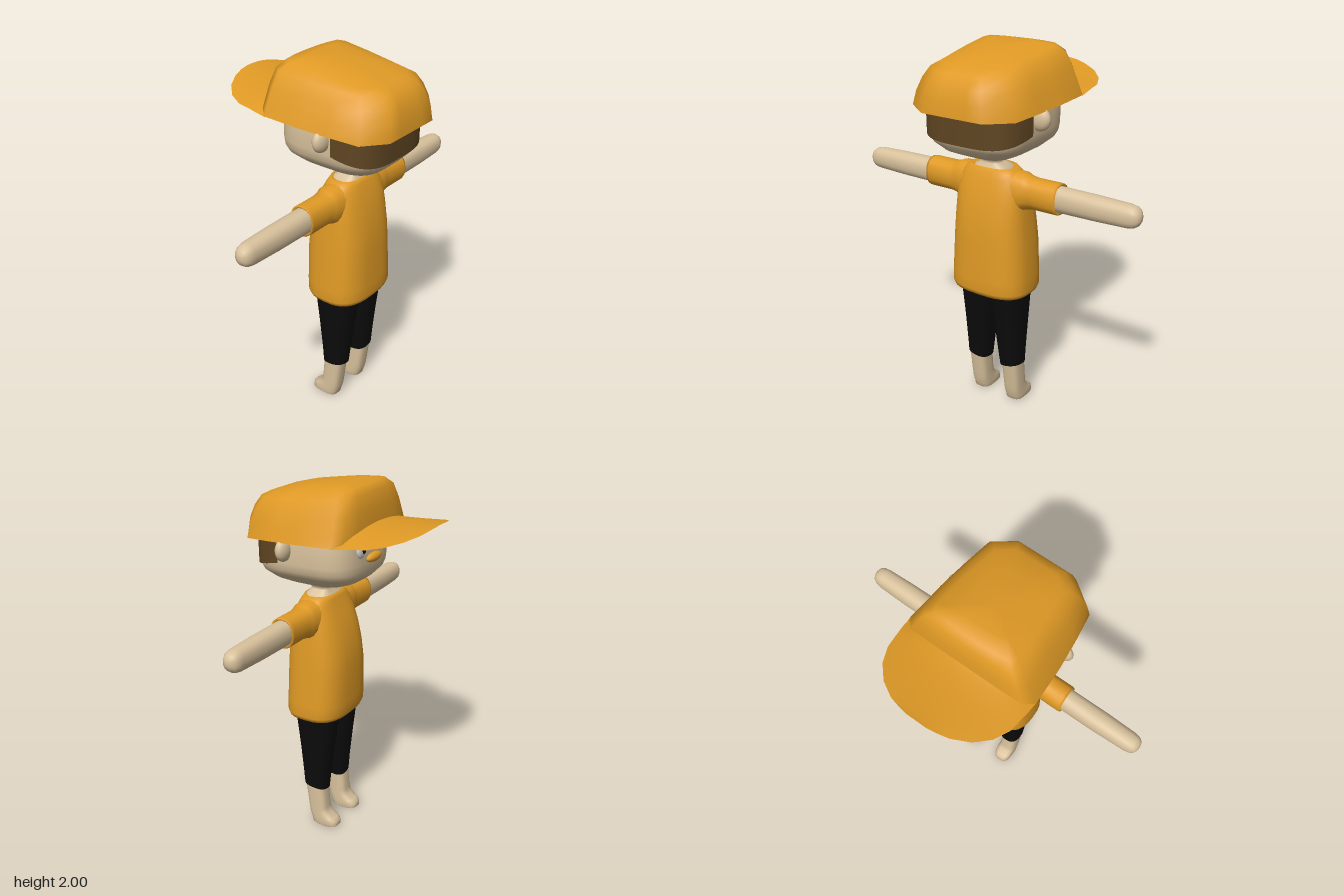
import * as THREE from 'three';

const mat = (name, color, side = THREE.FrontSide) => {
  const m = new THREE.MeshStandardMaterial({ color, side });
  m.name = name;
  return m;
};

// Rounded-box outline, u across x (0..1) and v across z (-1..1)
function superellipse(n, segs, a0 = 0, a1 = Math.PI * 2) {
  const f = c => Math.sign(c) * Math.abs(c) ** (2 / n);
  const pts = [];
  const count = a1 - a0 < 6.28 ? segs + 1 : segs;
  for (let i = 0; i < count; i++) {
    const t = a0 + (a1 - a0) * i / segs;
    pts.push([0.5 + 0.5 * f(Math.cos(t)), f(Math.sin(t))]);
  }
  return pts;
}

// Skin over rows of points, optionally closed around and capped at the ends
function skin(rows, { closed = true, capStart = false, capEnd = false } = {}) {
  const n = rows[0].length, pos = rows.flat(2), index = [];
  for (let i = 0; i < rows.length - 1; i++) {
    for (let j = 0; j < (closed ? n : n - 1); j++) {
      const k = (j + 1) % n, a = i * n + j, b = i * n + k;
      index.push(a, a + n, b, b, a + n, b + n);
    }
  }
  const cap = (row, up) => {
    const c = pos.length / 3;
    pos.push(...[0, 1, 2].map(d => rows[row].reduce((s, p) => s + p[d], 0) / n));
    for (let j = 0; j < n; j++) {
      const a = row * n + j, b = row * n + (j + 1) % n;
      index.push(c, ...(up ? [b, a] : [a, b]));
    }
  };
  if (capStart) cap(0, false);
  if (capEnd) cap(rows.length - 1, true);
  const g = new THREE.BufferGeometry();
  g.setAttribute('position', new THREE.Float32BufferAttribute(pos, 3));
  g.setIndex(index);
  g.computeVertexNormals();
  return g;
}

// Ring: [y at low x, y at high x, x0, x1, half depth in z, z centre]
const loft = (outline, rings, opts) => skin(rings.map(([ya, yb, x0, x1, w, zc = 0]) =>
  outline.map(([u, v]) => [x0 + (x1 - x0) * u, ya + (yb - ya) * u, zc + w * v])), opts);

export function createModel() {
  const group = new THREE.Group();
  group.name = 'capBoy';
  const orange = mat('orange cloth', 0xe09a25, THREE.DoubleSide);
  const skinTone = mat('skin', 0xd8c19c);
  const hairBrown = mat('hair brown', 0x5f4522, THREE.DoubleSide);
  const black = mat('black cloth', 0x0b0b0b, THREE.DoubleSide);
  const white = mat('eye white', 0xd8d8d8);
  const add = (name, geo, material) => {
    const m = new THREE.Mesh(geo, material);
    m.name = name;
    group.add(m);
    return m;
  };
  const ball = (name, material, p, r) => {
    const m = add(name, new THREE.SphereGeometry(1, 20, 14), material);
    m.position.set(...p);
    m.scale.set(...r);
  };

  // Head and neck
  add('head', loft(superellipse(3.5, 40), [
    [1.36, 1.36, 0.07, 0.24, 0.11], [1.4, 1.4, 0.09, 0.225, 0.09],
    [1.415, 1.415, 0.108, 0.21, 0.055], [1.435, 1.435, 0.105, 0.215, 0.055],
    [1.455, 1.455, 0.06, 0.25, 0.1], [1.475, 1.475, -0.03, 0.33, 0.16],
    [1.5, 1.5, -0.09, 0.385, 0.21], [1.54, 1.54, -0.128, 0.425, 0.26],
    [1.57, 1.57, -0.137, 0.436, 0.278], [1.61, 1.61, -0.14, 0.44, 0.285],
    [1.74, 1.74, -0.14, 0.44, 0.285], [1.82, 1.82, -0.12, 0.41, 0.255],
    [1.88, 1.88, -0.08, 0.34, 0.18]
  ], { capEnd: true }), skinTone);

  // Hair wrapping the back of the head
  add('hair', loft(superellipse(3.5, 24, -1.44, 1.44), [
    [1.7, 1.562, -0.145, 0.445, 0.289], [1.76, 1.76, -0.145, 0.445, 0.289]
  ], { closed: false }), hairBrown);

  // Face
  ball('mouth', orange, [-0.145, 1.627, 0], [0.024, 0.025, 0.07]);
  for (const s of [1, -1]) {
    ball('ear', skinTone, [0.198, 1.685, 0.295 * s], [0.034, 0.06, 0.06]);
    ball('eye', white, [-0.14, 1.69, 0.12 * s], [0.016, 0.045, 0.04]);
    ball('pupil', black, [-0.154, 1.69, 0.115 * s], [0.006, 0.02, 0.018]);
  }

  // Cap crown: chamfered outline, wider at the front
  const half = [[1, 0.25], [1, 0.5], [0.87, 0.85], [0.63, 0.92], [0.4, 0.97], [0.1, 1], [0.03, 0.9], [0.008, 0.56], [0, 0.2]];
  const crown = [...half, ...half.map(([u, v]) => [u, -v]).reverse()];
  add('capCrown', loft(crown, [
    [1.75, 1.71, -0.17, 0.5, 0.355], [1.8, 1.785, -0.168, 0.492, 0.332],
    [1.88, 1.85, -0.158, 0.47, 0.3], [1.955, 1.9, -0.142, 0.438, 0.262],
    [1.99, 1.925, -0.11, 0.39, 0.215], [2.003, 1.96, -0.04, 0.27, 0.12]
  ], { capEnd: true }), orange);

  // Cap brim: [x, half width, centre height, edge height]
  const brim = [
    [-0.5, 0.05, 1.835, 1.833], [-0.492, 0.1, 1.833, 1.828], [-0.475, 0.16, 1.83, 1.815],
    [-0.43, 0.24, 1.823, 1.797], [-0.36, 0.305, 1.815, 1.777], [-0.28, 0.34, 1.808, 1.763],
    [-0.2, 0.348, 1.806, 1.757], [-0.16, 0.352, 1.812, 1.752], [-0.1, 0.354, 1.82, 1.742]
  ];
  add('capBrim', skin(brim.map(([x, w, yc, ye]) => Array.from({ length: 17 }, (_, i) => {
    const s = i / 8 - 1;
    return [x, yc + (ye - yc) * s * s, w * s];
  })), { closed: false }), orange);

  // Shirt body, open at neck and hem
  add('shirt', loft(superellipse(2.8, 36), [
    [0.725, 0.725, 0.0, 0.295, 0.2], [0.712, 0.712, -0.015, 0.315, 0.222],
    [0.735, 0.735, -0.025, 0.322, 0.231], [0.8, 0.8, -0.03, 0.322, 0.228],
    [1.0, 1.0, -0.03, 0.314, 0.217], [1.1, 1.1, -0.02, 0.308, 0.209],
    [1.2, 1.2, 0.002, 0.293, 0.202], [1.28, 1.28, 0.03, 0.275, 0.195],
    [1.345, 1.345, 0.057, 0.254, 0.18], [1.375, 1.375, 0.067, 0.242, 0.155],
    [1.398, 1.398, 0.077, 0.231, 0.125], [1.385, 1.385, 0.09, 0.22, 0.1]
  ]), orange);

  for (const s of [1, -1]) {
    // Sleeve and arm, lofted upright then laid out sideways
    const limb = (name, outline, rings, material, opts) => {
      const g = loft(outline, rings.map(([d, rx, ry]) => [d, d, 0.155 - rx, 0.155 + rx, ry]), opts);
      g.rotateX(s * Math.PI / 2);
      g.translate(0, 1.285, 0);
      add(name, g, material);
    };
    limb('sleeve', superellipse(2.3, 16), [
      [0.12, 0.088, 0.1], [0.19, 0.08, 0.1], [0.215, 0.073, 0.088], [0.25, 0.069, 0.081],
      [0.385, 0.069, 0.081], [0.4, 0.067, 0.08], [0.392, 0.058, 0.068]
    ], orange);
    limb('arm', superellipse(2.3, 20), [
      [0.34, 0.056, 0.067], [0.6, 0.056, 0.064], [0.77, 0.051, 0.059], [0.8, 0.046, 0.053],
      [0.818, 0.036, 0.04], [0.828, 0.02, 0.022], [0.83, 0.008, 0.008]
    ], skinTone, { capEnd: true });

    // Trouser leg with a hem dipping towards the inside
    const leg = loft(superellipse(2.5, 28), [
      [0.23, 0.25, 0.08, 0.217, 0.062, 0.108 * s], [0.34, 0.34, 0.07, 0.225, 0.07, 0.103 * s],
      [0.5, 0.5, 0.05, 0.242, 0.081, 0.098 * s], [0.72, 0.72, 0.02, 0.27, 0.092, 0.095 * s],
      [0.82, 0.82, 0.01, 0.28, 0.098, 0.095 * s]
    ], { capEnd: true });
    const p = leg.attributes.position;
    for (let i = 0; i < 28; i++) p.setY(i, p.getY(i) + 0.2 * (p.getZ(i) * s - 0.1));
    leg.computeVertexNormals();
    add('trouserLeg', leg, black);

    // Shin and foot, toes pointing to -x
    add('foot', loft(superellipse(3, 28), [
      [0, 0, 0.015, 0.155, 0.046, 0.11 * s], [0.008, 0.008, 0.004, 0.166, 0.053, 0.11 * s],
      [0.035, 0.035, 0.008, 0.173, 0.053, 0.11 * s], [0.05, 0.05, 0.025, 0.178, 0.053, 0.11 * s],
      [0.075, 0.075, 0.06, 0.183, 0.052, 0.11 * s], [0.11, 0.11, 0.075, 0.188, 0.052, 0.11 * s],
      [0.28, 0.28, 0.088, 0.21, 0.052, 0.11 * s]
    ], { capStart: true }), skinTone);
  }
  return group;
}
